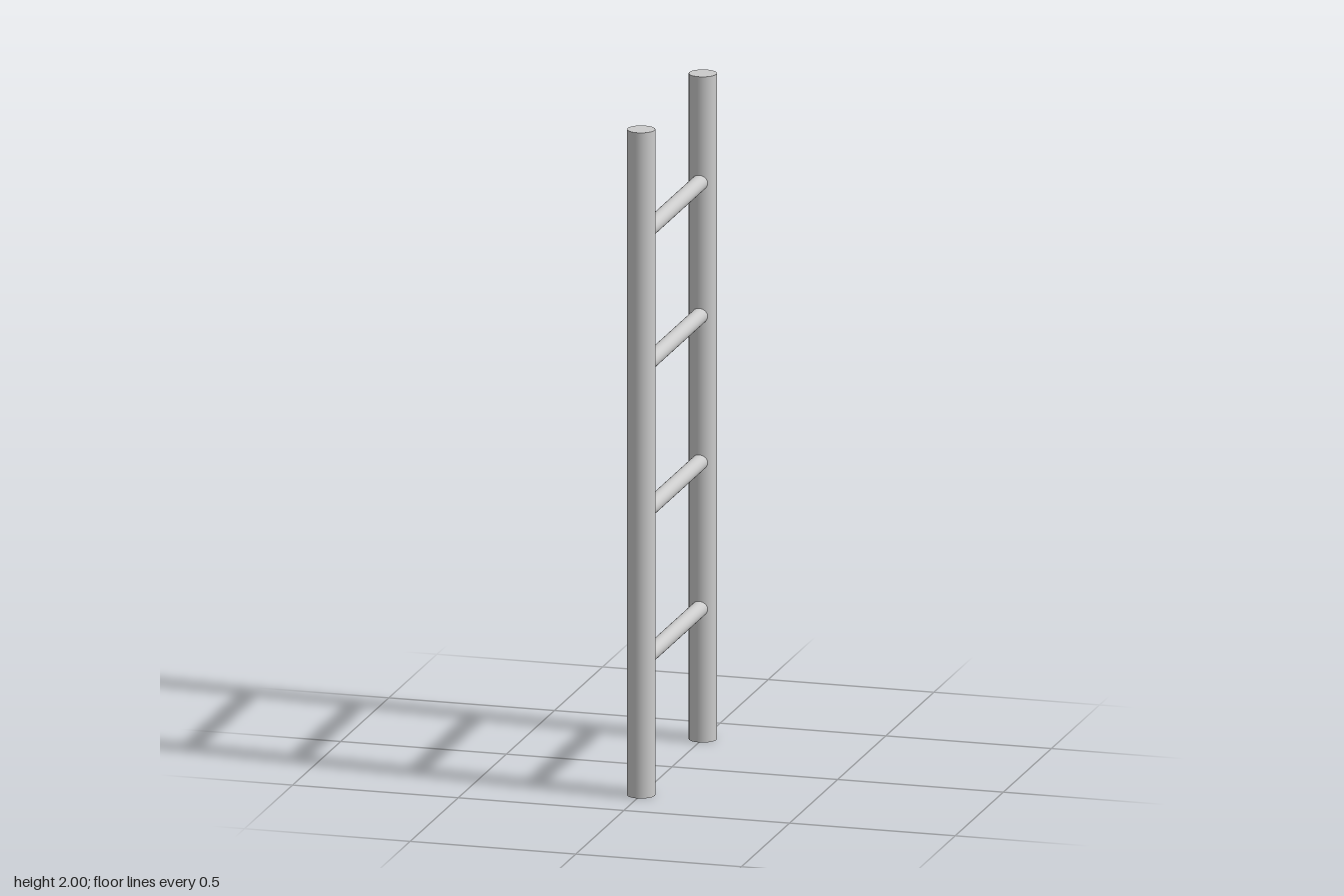
import * as THREE from 'three';

export function createModel() {
  const model = new THREE.Group();
  model.name = 'ladder';
  const material = new THREE.MeshStandardMaterial({ color: 0xcccccc });

  const railZ = 0.321;

  // Two upright round rails
  const railGeometry = new THREE.CylinderGeometry(0.041, 0.041, 2, 48);
  for (const [name, side] of [['frontRail', 1], ['backRail', -1]]) {
    const rail = new THREE.Mesh(railGeometry, material);
    rail.name = name;
    rail.position.set(0, 1, side * railZ);
    model.add(rail);
  }

  // Round rungs, their ends set into the rails
  const rungGeometry = new THREE.CylinderGeometry(0.024, 0.024, railZ * 2 - 0.04, 32).rotateX(Math.PI / 2);
  [0.4, 0.84, 1.28, 1.68].forEach((y, i) => {
    const rung = new THREE.Mesh(rungGeometry, material);
    rung.name = `rung${i + 1}`;
    rung.position.y = y;
    model.add(rung);
  });

  return model;
}
